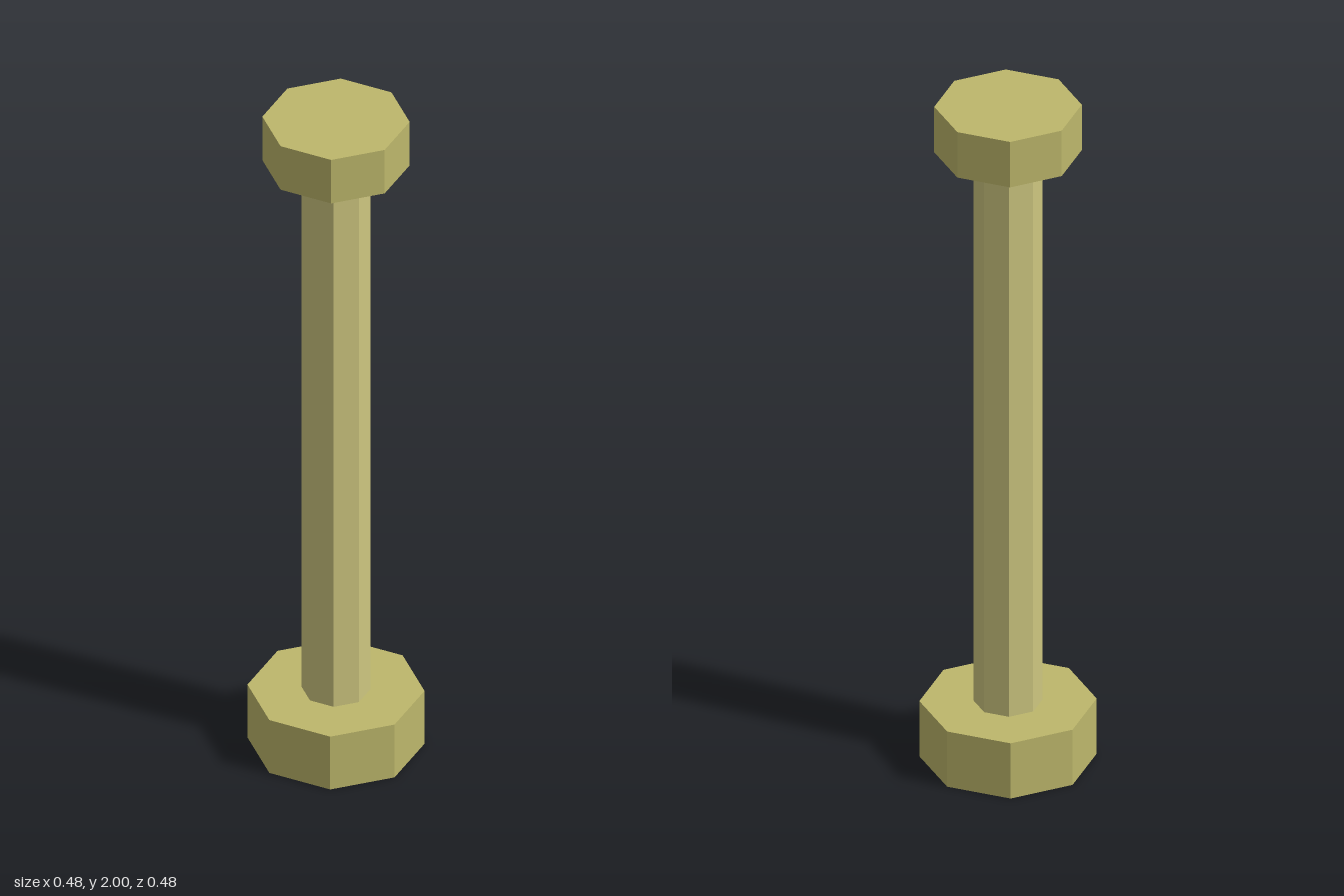
import * as THREE from 'three';

const SIDES = 8;

// Upright octagonal prism between two heights
function prism(name, radius, y0, y1, color) {
  const geometry = new THREE.CylinderGeometry(radius, radius, y1 - y0, SIDES);
  const material = new THREE.MeshStandardMaterial({ color, flatShading: true });
  const mesh = new THREE.Mesh(geometry, material);
  mesh.name = name;
  mesh.position.y = (y0 + y1) / 2;
  return mesh;
}

export function createModel() {
  const group = new THREE.Group();
  group.name = 'column';
  group.add(
    prism('base', 0.238, 0, 0.17, 0xbdb76b),
    // The shaft is sunk slightly into the base and the capital
    prism('shaft', 0.093, 0.02, 1.98, 0xcdc67f),
    prism('capital', 0.198, 1.86, 2, 0xbdb76b),
  );
  return group;
}
